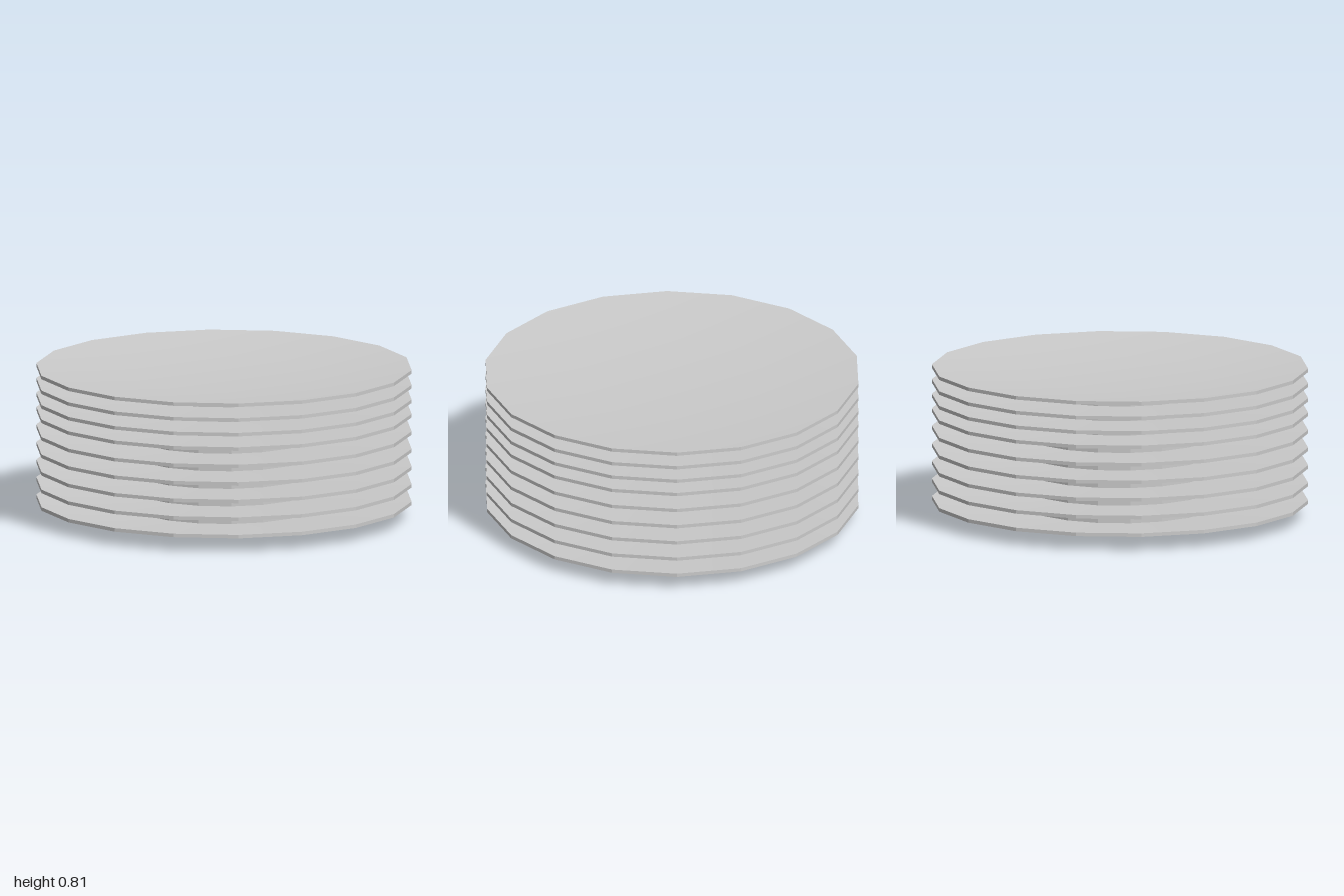
import * as THREE from 'three';

const SIDES = 18;
const flat = new THREE.MeshStandardMaterial({ color: 0xcccccc, flatShading: true });
const smooth = new THREE.MeshStandardMaterial({ color: 0xcccccc });

// Ring of SIDES sides around y, with a corner pointing along x
function lathe(points) {
  const profile = points.map(([r, y]) => new THREE.Vector2(r, y));
  return new THREE.LatheGeometry(profile, SIDES, Math.PI / 2);
}

export function createModel() {
  const model = new THREE.Group();

  // Central column
  const core = new THREE.Mesh(
    new THREE.CylinderGeometry(0.5, 0.5, 0.76, SIDES, 1, false, Math.PI / 2), flat);
  core.name = 'core';
  core.position.y = 0.38;
  model.add(core);

  // Fin: a thin dished plate around the column
  const underside = lathe([[0.5, -0.06], [1, -0.019], [1, 0]]);
  const dish = lathe([[1, 0], [0.5, -0.041]]);
  const closedDish = lathe([[1, 0], [0.5, -0.041], [0, -0.041]]);

  // Wider gaps below, tighter gaps in the upper part
  const finTops = [0.096, 0.191, 0.286, 0.381, 0.476, 0.57, 0.648, 0.727, 0.807];
  finTops.forEach((y, i) => {
    const isTop = i === finTops.length - 1;
    const fin = new THREE.Group();
    fin.name = `fin${i + 1}`;
    const lower = new THREE.Mesh(underside, flat);
    lower.name = 'finUndersideAndRim';
    const upper = new THREE.Mesh(isTop ? closedDish : dish, smooth);
    upper.name = 'finDish';
    fin.add(lower, upper);
    fin.position.y = y;
    model.add(fin);
  });

  return model;
}
